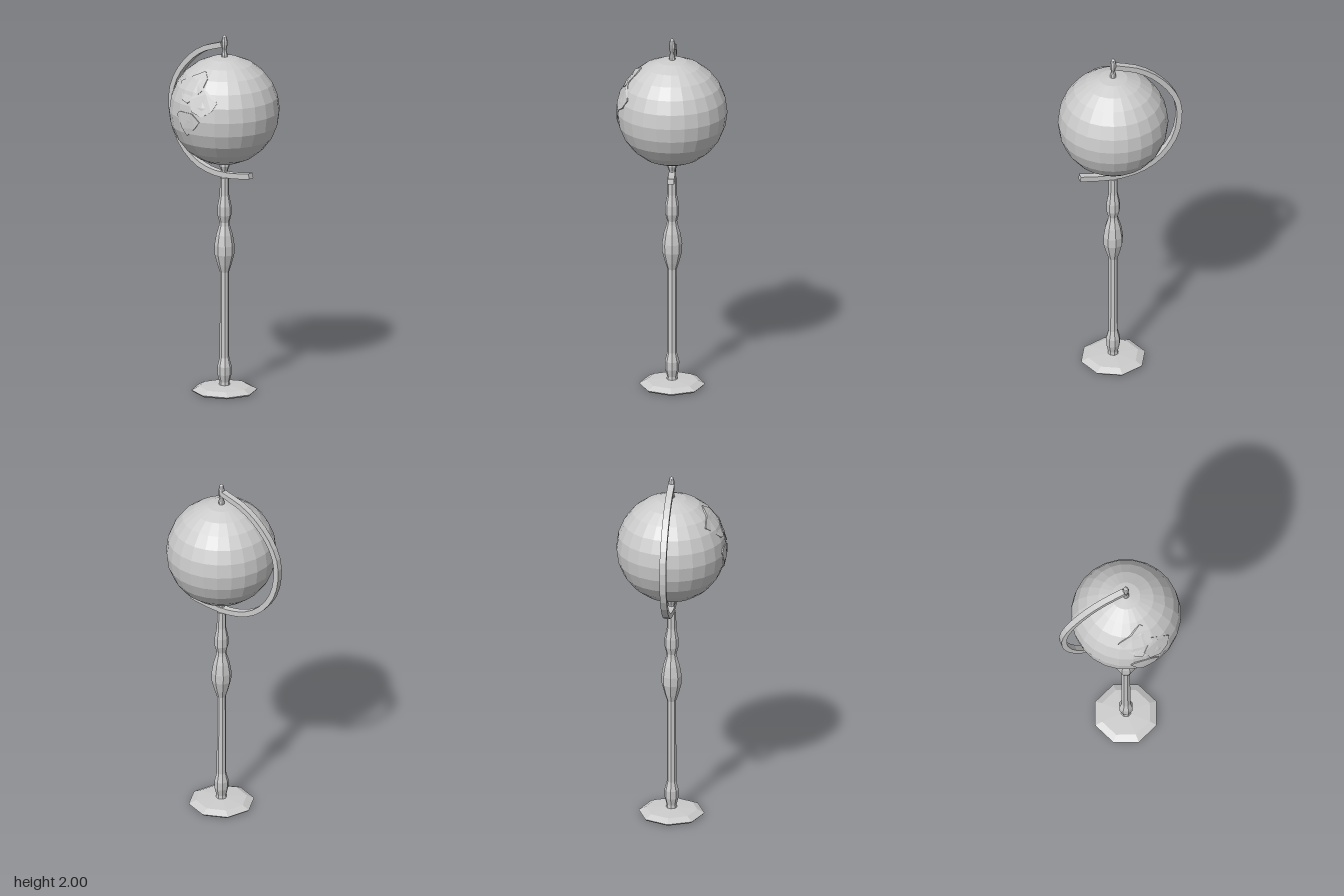
import * as THREE from 'three';
import { ConvexGeometry } from 'three/addons/geometries/ConvexGeometry.js';

const AXIS_X = 0.04, GLOBE_Y = 1.58, GLOBE_R = 0.3;
const material = new THREE.MeshStandardMaterial({ color: 0xcccccc, flatShading: true });

function add(group, name, geometry) {
  const mesh = new THREE.Mesh(geometry, material);
  mesh.name = name;
  group.add(mesh);
  return mesh;
}

// Eight-sided turned part, profile given as [radius, height] from bottom to top
function turned(group, name, profile) {
  const points = profile.map(([r, y]) => new THREE.Vector2(r, y));
  add(group, name, new THREE.LatheGeometry(points, 8)).position.x = AXIS_X;
}

// Thin angular plate on the front of the globe, outline given in front view x, y
function landPlate(group, name, outline, outerR = 0.304) {
  const points = [];
  for (const [x, y] of outline) {
    const dx = x - AXIS_X, dy = y - GLOBE_Y;
    const dz = Math.sqrt(Math.max(0, GLOBE_R ** 2 - dx * dx - dy * dy));
    const dir = new THREE.Vector3(dx, dy, dz).normalize();
    points.push(dir.clone().multiplyScalar(outerR), dir.clone().multiplyScalar(0.275));
  }
  add(group, name, new ConvexGeometry(points)).position.set(AXIS_X, GLOBE_Y, 0);
}

// Flat curved band: a centre line thickened both ways, then extruded in depth
function bandGeometry(path, halfWidth, depth) {
  const curve = new THREE.CatmullRomCurve3(path.map(([x, y]) => new THREE.Vector3(x, y, 0)));
  const outer = [], inner = [], steps = 22;
  for (let i = 0; i <= steps; i++) {
    const p = curve.getPointAt(i / steps), t = curve.getTangentAt(i / steps);
    outer.push(new THREE.Vector2(p.x - t.y * halfWidth, p.y + t.x * halfWidth));
    inner.unshift(new THREE.Vector2(p.x + t.y * halfWidth, p.y - t.x * halfWidth));
  }
  const shape = new THREE.Shape([...outer, ...inner]);
  return new THREE.ExtrudeGeometry(shape, { depth, bevelEnabled: false }).translate(0, 0, -depth / 2);
}

export function createModel() {
  const group = new THREE.Group();
  group.name = 'floorGlobe';

  // Stand
  turned(group, 'base', [[0, 0], [0.17, 0], [0.18, 0.01], [0.14, 0.03], [0.03, 0.037], [0, 0.037]]);
  turned(group, 'post', [
    [0, 0.03], [0.03, 0.03], [0.028, 0.055], [0.038, 0.095], [0.039, 0.14], [0.026, 0.19],
    [0.025, 0.67], [0.038, 0.71], [0.054, 0.77], [0.055, 0.82], [0.045, 0.88], [0.03, 0.93],
    [0.027, 0.95], [0.038, 0.99], [0.038, 1.04], [0.026, 1.1], [0.025, 1.2], [0, 1.2],
  ]);

  // Pivots under and over the globe
  turned(group, 'lowerPivot', [[0, 1.19], [0.017, 1.19], [0.018, 1.24], [0.028, 1.265], [0.026, 1.3]]);
  turned(group, 'finial', [
    [0.018, 1.865], [0.017, 1.89], [0.011, 1.915], [0.017, 1.945], [0.017, 1.965], [0.011, 1.99], [0, 2],
  ]);

  // Globe with angular land plates
  add(group, 'globe', new THREE.SphereGeometry(GLOBE_R, 24, 12)).position.set(AXIS_X, GLOBE_Y, 0);
  landPlate(group, 'northLand', [
    [-0.09, 1.76], [-0.01, 1.8], [0.05, 1.83], [0.09, 1.8], [0.09, 1.74], [0.02, 1.67], [-0.02, 1.68],
  ]);
  landPlate(group, 'eastLand', [
    [0.09, 1.76], [0.12, 1.73], [0.19, 1.69], [0.17, 1.64], [0.12, 1.61], [0.06, 1.63], [0.03, 1.69],
  ]);
  landPlate(group, 'southLand', [
    [-0.05, 1.6], [-0.03, 1.62], [0.06, 1.62], [0.11, 1.58], [0.08, 1.54], [0.02, 1.49], [-0.01, 1.53],
  ]);
  landPlate(group, 'polarLand', [
    [-0.09, 1.33], [-0.07, 1.355], [-0.01, 1.35], [0.05, 1.32], [0.03, 1.295], [-0.02, 1.3],
  ], 0.302);

  // Half-ring carrying the globe
  add(group, 'meridianArm', bandGeometry([
    [0.03, 1.945], [-0.1, 1.9], [-0.2, 1.83], [-0.28, 1.735], [-0.32, 1.65], [-0.33, 1.56],
    [-0.31, 1.44], [-0.25, 1.335], [-0.16, 1.26], [-0.06, 1.225], [0.04, 1.217], [0.15, 1.227], [0.228, 1.24],
  ], 0.015, 0.035));

  return group;
}
